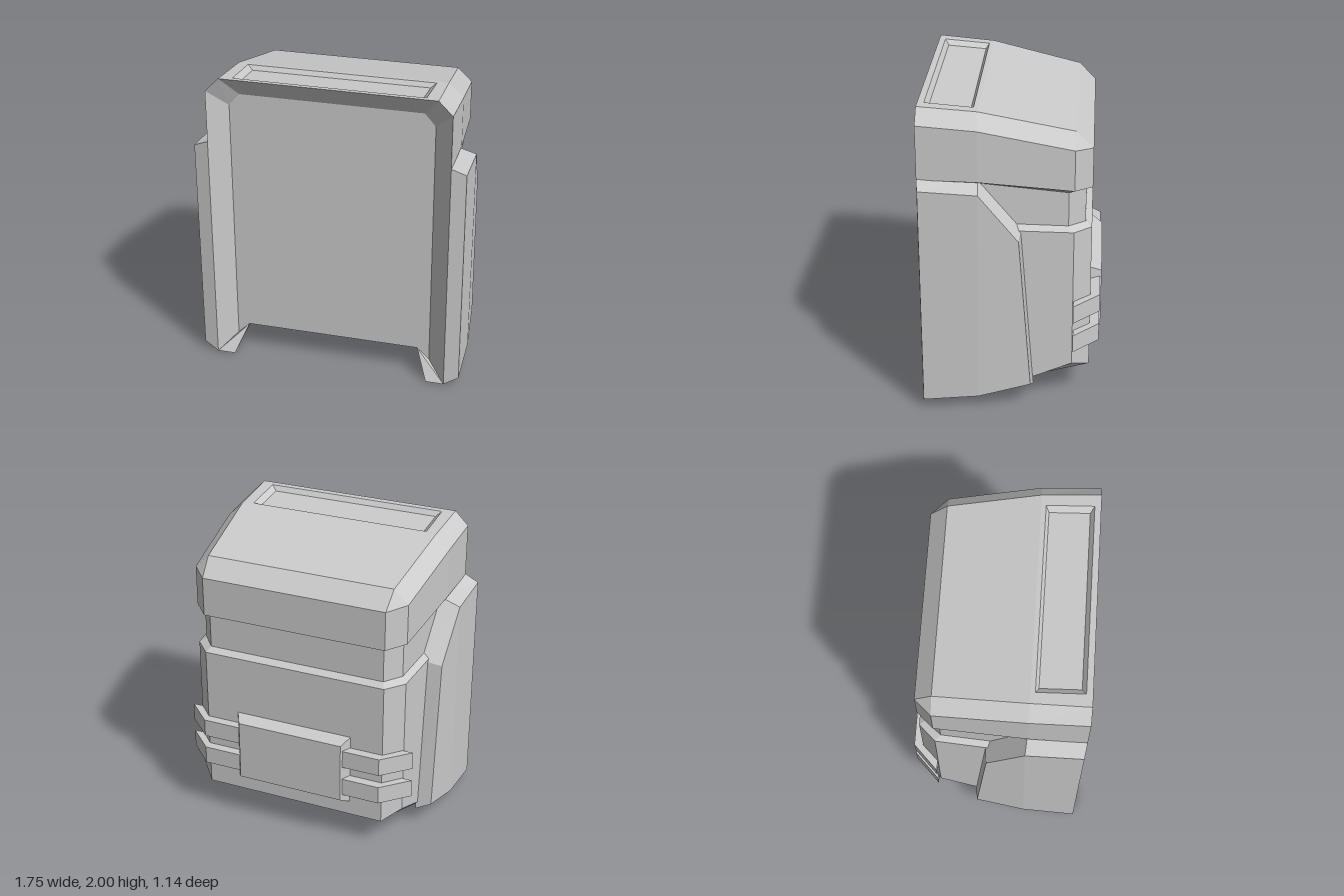
import * as THREE from 'three';

const material = new THREE.MeshStandardMaterial({ color: 0xcccccc, flatShading: true });

// Faceted mesh from a list of triangles
function facets(name, tris) {
  const geo = new THREE.BufferGeometry();
  geo.setAttribute('position', new THREE.Float32BufferAttribute(tris.flat(2), 3));
  geo.computeVertexNormals();
  const mesh = new THREE.Mesh(geo, material);
  mesh.name = name;
  return mesh;
}

// Triangles covering a polygon, fanned from its first corner
const fan = (p) => p.slice(2).map((c, i) => [p[0], p[i + 1], c]);

// Triangles joining neighbouring rows of points
function skin(rows, closed = false) {
  const tris = [];
  for (let j = 0; j + 1 < rows.length; j++) {
    const a = rows[j], b = rows[j + 1], n = a.length;
    for (let i = 0; i < (closed ? n : n - 1); i++) {
      const k = (i + 1) % n;
      tris.push([a[i], a[k], b[k]], [a[i], b[k], b[i]]);
    }
  }
  return tris;
}

const flip = ([x, y, z]) => [-x, y, z];
const mirrored = (tris) => tris.map(([a, b, c]) => [flip(a), flip(c), flip(b)]);
const both = (pts) => [...pts, ...[...pts].reverse().map(flip)];
const rotate = (p, n) => [...p.slice(n), ...p.slice(0, n)];

export function createModel() {
  const model = new THREE.Group();
  model.name = 'pack';

  // Half outline stations from front to back
  const zs = [0.57, 0.2, -0.39, -0.5];
  const side = [0.78, 0.775, 0.725, 0.62];
  const neckX = [0.78, 0.735, 0.69, 0.6];
  const neckZ = [0.57, 0.2, -0.355, -0.46];
  const layer = (xs, ys, z = zs) => xs.map((x, i) => [x, ys[i], z[i]]);

  const floor = layer([0.66, 0.66, 0.63, 0.62], [0, 0.04, 0.185, 0.21]);
  const roof = layer([0.69, 0.68, 0.63, 0.62], [2, 1.97, 1.84, 1.73]);
  const layers = [
    floor,
    layer(side, [0, 0.04, 0.27, 0.21]),
    layer(side, [1.26, 1.235, 1.205, 1.2]),
    layer(neckX, [1.29, 1.265, 1.235, 1.23], neckZ),
    layer(neckX, [1.56, 1.53, 1.46, 1.45], neckZ),
    layer(side, [1.56, 1.55, 1.485, 1.47]),
    layer(side, [1.91, 1.88, 1.75, 1.73]),
    roof,
  ];
  model.add(facets('bodyShell', skin(layers.map(both))));

  // Roof: sloped back and a shallow slot near the front
  const pair = (p) => [p, flip(p)];
  model.add(facets('roofSlope', skin([3, 2, 1].map((i) => pair(roof[i])))));
  const slotRing = (x, zf, zb, drop) => both([zf, zb].map((z) => [x, 2 - 0.081 * (0.57 - z) - drop, z]));
  const roofRing = both([roof[0], roof[1]]);
  const slotFloor = slotRing(0.575, 0.505, 0.25, 0.03);
  model.add(facets('roofSlot', [
    ...skin([roofRing, slotRing(0.61, 0.53, 0.23, 0), slotFloor], true), ...fan(slotFloor),
  ]));

  // Underside, rising at the front to meet the recessed panel
  const lip = [0.58, 0.19, 0.475];
  model.add(facets('underside', skin([lip, floor[1], floor[2], floor[3]].map(pair))));

  // Front: sloped frame around a recessed panel
  const frameOuter = both([[0.78, 0, 0.57], [0.78, 1.91, 0.57], [0.69, 2, 0.57]]);
  const frameInner = both([[0.66, 0.114, 0.475], [0.66, 1.79, 0.475], [0.59, 1.87, 0.475]]);
  model.add(facets('frontFrame', skin([frameOuter, frameInner])));
  model.add(facets('frontPanel', fan(rotate([lip, ...frameInner, flip(lip)], 3))));

  // Feet: inner faces of the two front corners
  const foot = [
    ...fan([frameOuter[0], frameInner[0], lip, floor[0]]),
    [floor[1], floor[0], lip],
  ];
  model.add(facets('leftFoot', foot), facets('rightFoot', mirrored(foot)));

  // Bevelled side panels
  const panelBase = [
    [0.78, 0, 0.57], [0.77, 0.04, 0.2], [0.735, 0.12, -0.145],
    [0.69, 1.215, -0.07], [0.73, 1.55, 0.2], [0.78, 1.565, 0.57],
  ];
  const panelOuter = [
    [0.875, 0.055, 0.555], [0.87, 0.09, 0.2], [0.838, 0.172, -0.13],
    [0.846, 1.19, -0.055], [0.87, 1.505, 0.19], [0.875, 1.525, 0.555],
  ];
  const panel = [...skin([panelBase, panelOuter], true), ...fan(rotate(panelOuter, 1))];
  model.add(facets('leftSidePanel', panel), facets('rightSidePanel', mirrored(panel)));

  // Bevelled plate on the back
  const plateRing = (x, y0, y1, z) => [[x, y0, z], [-x, y0, z], [-x, y1, z], [x, y1, z]];
  const plateFace = plateRing(0.36, 0.35, 0.76, -0.57);
  model.add(facets('backPlate', [
    ...skin([plateRing(0.4, 0.31, 0.8, -0.5), plateFace], true), ...fan(plateFace),
  ]));

  // Angled straps wrapping the back corners
  const strapOutline = [[0.62, -0.56], [0.37, -0.56], [0.37, -0.48], [0.6, -0.48], [0.7, -0.395], [0.79, -0.395]];
  for (const y of [0.39, 0.6]) {
    const [low, high] = [y, y + 0.12].map((h) => strapOutline.map(([x, z]) => [x, h, z]));
    const under = fan(low).map(([a, b, c]) => [a, c, b]);
    const strap = [...skin([low, high], true), ...fan(high), ...under];
    model.add(facets('leftStrap', strap), facets('rightStrap', mirrored(strap)));
  }
  return model;
}
